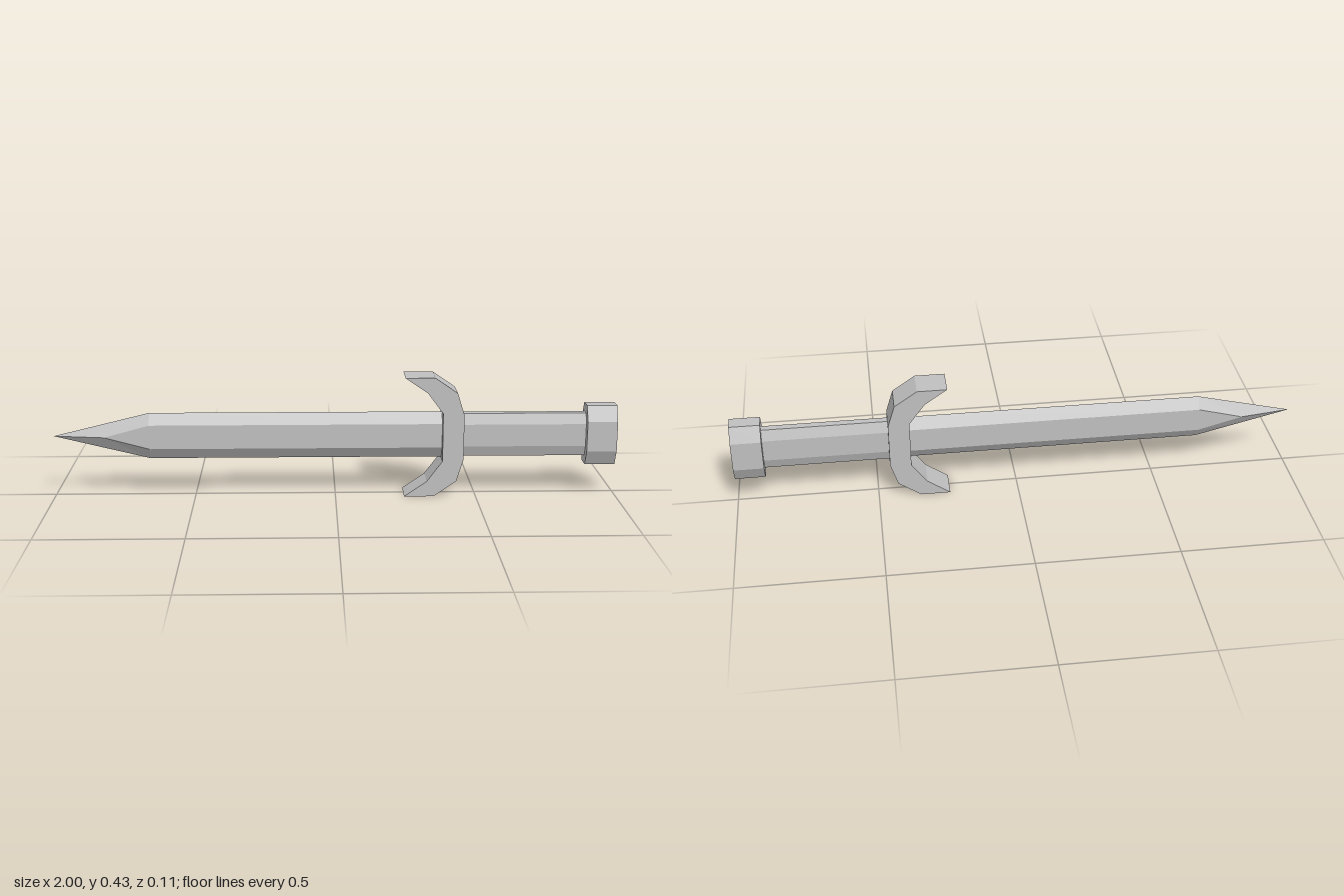
import * as THREE from 'three';

const CY = 0.217; // height of the long axis

// Eight-sided ring: half height, half height of side flat, half depth, half depth of top flat
function ring([x, hy, fy, hz, fz]) {
  const half = [[hy, fz], [fy, hz], [-fy, hz], [-hy, fz]];
  return [...half, ...half.map(([y, z]) => [-y, -z])].map(([y, z]) => new THREE.Vector3(x, y + CY, z));
}

// Joins rings, listed by increasing x, into a closed faceted solid
function loft(sections) {
  const rings = sections.map(ring);
  const pos = [];
  const tri = (a, b, c) => {
    const area = b.clone().sub(a).cross(c.clone().sub(a)).length();
    if (area > 1e-9) for (const p of [a, b, c]) pos.push(p.x, p.y, p.z);
  };
  for (let k = 0; k < rings.length - 1; k++) {
    const r = rings[k], s = rings[k + 1];
    for (let i = 0; i < 8; i++) {
      const j = (i + 1) % 8;
      tri(r[i], r[j], s[j]);
      tri(r[i], s[j], s[i]);
    }
  }
  const first = rings[0], last = rings[rings.length - 1];
  for (let i = 1; i < 7; i++) {
    tri(first[0], first[i + 1], first[i]);
    tri(last[0], last[i], last[i + 1]);
  }
  const g = new THREE.BufferGeometry();
  g.setAttribute('position', new THREE.Float32BufferAttribute(pos, 3));
  g.computeVertexNormals();
  return g;
}

export function createModel() {
  const group = new THREE.Group();
  group.name = 'sword';
  const steel = new THREE.MeshStandardMaterial({ color: 0xc0c0c0 });
  steel.name = 'steelGrey';
  const add = (name, geometry) => {
    const mesh = new THREE.Mesh(geometry, steel);
    mesh.name = name;
    group.add(mesh);
    return mesh;
  };

  // Blade: six-sided bar whose flats close to a point before the tip
  add('blade', loft([
    [-1, 0, 0, 0, 0],
    [-0.82, 0.044, 0, 0.027, 0],
    [-0.66, 0.083, 0.043, 0.027, 0],
    [0.4, 0.083, 0.043, 0.027, 0],
  ]));

  // Grip and pommel
  add('grip', loft([[0.42, 0.078, 0.04, 0.027, 0.013], [0.92, 0.078, 0.04, 0.027, 0.013]]));
  add('pommel', loft([[0.893, 0.108, 0.054, 0.054, 0.027], [1, 0.108, 0.054, 0.054, 0.027]]));

  // Crescent guard, mirrored about the axis
  const upper = [[0.455, 0.081], [0.43, 0.161], [0.35, 0.216], [0.245, 0.216], [0.325, 0.161], [0.38, 0.087]];
  const lower = upper.map(([x, y]) => [x, -y]).reverse();
  const outline = [...upper, ...lower].map(([x, y]) => new THREE.Vector2(x, y + CY));
  const guard = new THREE.ExtrudeGeometry(new THREE.Shape(outline), { depth: 0.108, bevelEnabled: false });
  guard.translate(0, 0, -0.054);
  add('guard', guard);

  return group;
}
